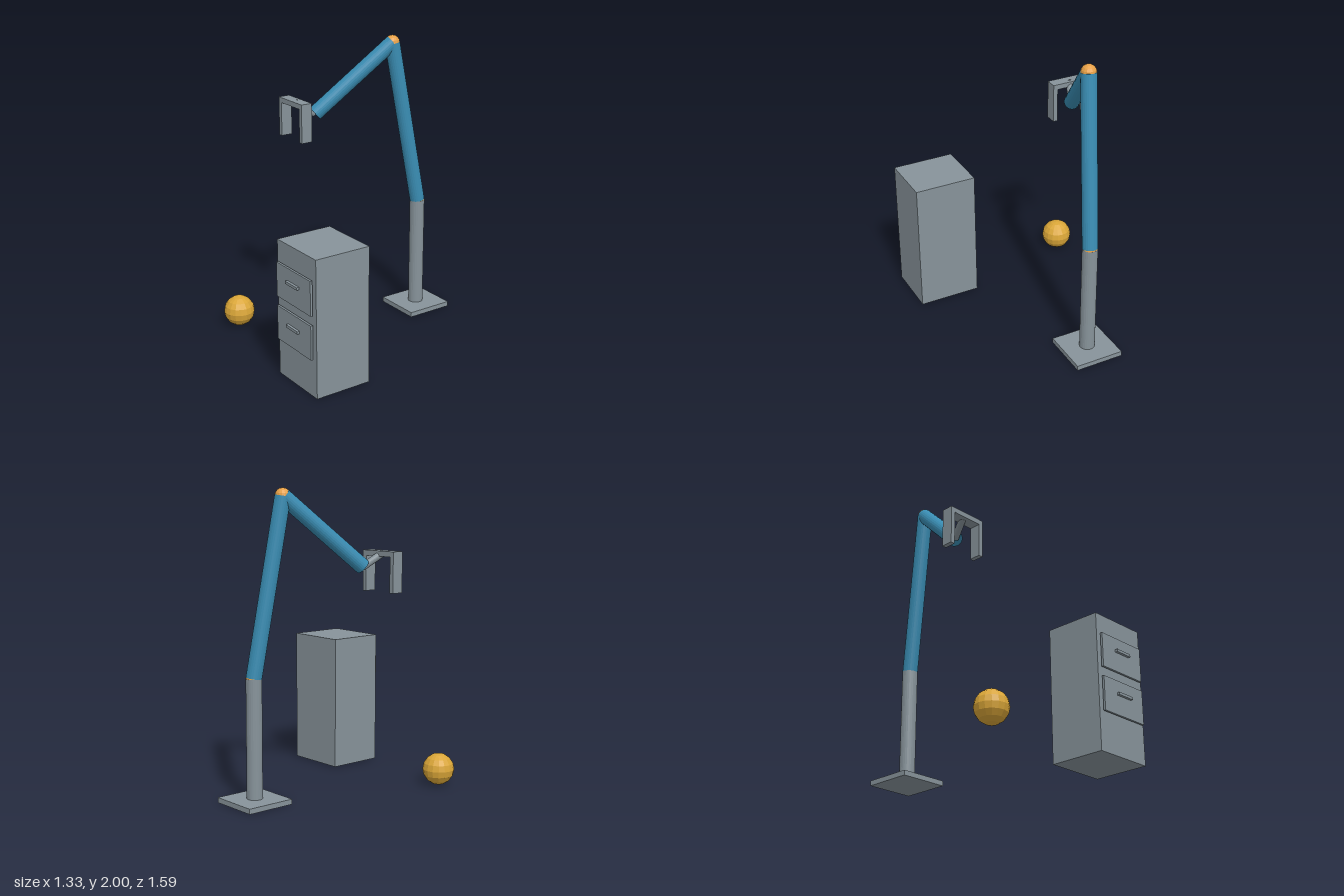
import * as THREE from 'three';

const material = (name, color, flatShading = false) => {
  const m = new THREE.MeshStandardMaterial({ color, flatShading });
  m.name = name;
  return m;
};

export function createModel() {
  const grey = material('grey metal', 0x87939a, true);
  const blue = material('blue arm', 0x398cb2, true);
  const orange = material('orange joint', 0xe6a047, true);
  const gold = material('gold ball', 0xdaa638, true);

  const model = new THREE.Group();
  model.name = 'robotArmScene';

  const group = (name) => {
    const g = new THREE.Group();
    g.name = name;
    model.add(g);
    return g;
  };
  const add = (parent, name, geometry, mat, position) => {
    const mesh = new THREE.Mesh(geometry, mat);
    mesh.name = name;
    mesh.position.copy(position);
    parent.add(mesh);
    return mesh;
  };
  const v = (x, y, z) => new THREE.Vector3(x, y, z);
  // Box given by its minimum and maximum corners
  const box = (parent, name, mat, min, max) =>
    add(parent, name, new THREE.BoxGeometry(...max.clone().sub(min).toArray()), mat,
      min.clone().add(max).multiplyScalar(0.5));
  // Cylinder running from point a to point b
  const rod = (parent, name, mat, a, b, radius) => {
    const dir = b.clone().sub(a);
    const mesh = add(parent, name, new THREE.CylinderGeometry(radius, radius, dir.length(), 24),
      mat, a.clone().add(b).multiplyScalar(0.5));
    mesh.quaternion.setFromUnitVectors(v(0, 1, 0), dir.normalize());
  };
  const ball = (parent, name, mat, center, radius) =>
    add(parent, name, new THREE.SphereGeometry(radius, 16, 8), mat, center);

  // Arm: base plate, column, two limbs and wrist
  const shoulder = v(-0.114, 0.81, -0.626);
  const elbow = v(-0.18, 1.948, -0.44);
  const wrist = v(-0.364, 1.491, 0.07);
  const grip = v(-0.414, 1.576, 0.195);
  const r = 0.052;
  const arm = group('arm');
  box(arm, 'basePlate', grey, v(-0.283, 0, -0.795), v(0.055, 0.034, -0.457));
  rod(arm, 'column', grey, v(shoulder.x, 0.02, shoulder.z), shoulder, r);
  ball(arm, 'shoulderJoint', orange, shoulder, r);
  rod(arm, 'upperArm', blue, shoulder, elbow, r);
  ball(arm, 'elbowJoint', orange, elbow, r);
  rod(arm, 'forearm', blue, elbow, wrist, r);
  rod(arm, 'wrist', grey, wrist, grip, 0.024);

  // Gripper: crossbar with two hanging fingers
  const gripper = group('gripper');
  box(gripper, 'crossbar', grey, v(-0.555, 1.558, 0.155), v(-0.273, 1.593, 0.236));
  for (const [name, x] of [['rightFinger', -0.555], ['leftFinger', -0.304]])
    box(gripper, name, grey, v(x, 1.327, 0.155), v(x + 0.031, 1.558, 0.236));

  // Cabinet with two drawer fronts held just clear of the body
  const cabinet = group('cabinet');
  box(cabinet, 'cabinetBody', grey, v(0.23, 0, 0.36), v(0.661, 0.922, 0.752));
  for (const [name, y] of [['upper', 0.669], ['lower', 0.376]]) {
    box(cabinet, name + 'Drawer', grey, v(0.255, y - 0.115, 0.762), v(0.636, y + 0.115, 0.777));
    box(cabinet, name + 'Handle', grey, v(0.38, y + 0.016, 0.777), v(0.511, y + 0.034, 0.795));
  }

  // Ball on the floor
  ball(model, 'ball', gold, v(-0.558, 0.107, 0.596), 0.107);

  return model;
}
